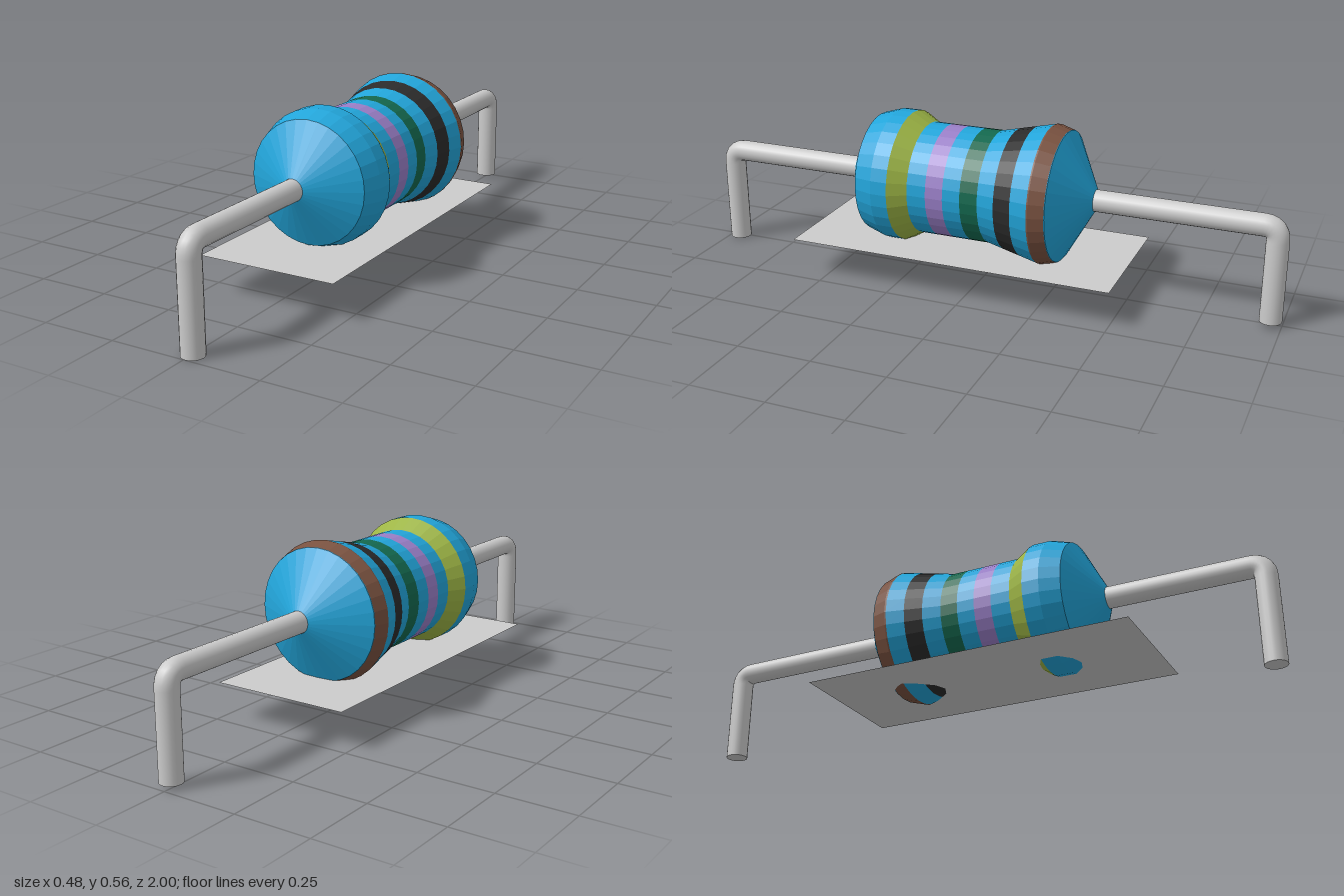
import * as THREE from 'three';

const AXIS_X = 0.006, AXIS_Y = 0.332, LEAD_R = 0.036;

// Body silhouette: [z, radius] from back to front
const PROFILE = [
  [-0.385, LEAD_R], [-0.285, 0.215], [-0.235, 0.23], [-0.05, 0.187],
  [0.195, 0.187], [0.253, 0.22], [0.31, 0.22], [0.375, 0.2], [0.46, LEAD_R],
];

// Painted bands: [name, back z, front z, color]
const BANDS = [
  ['brownBand', -0.283, -0.23, 0x7a5240],
  ['blackBand', -0.17, -0.11, 0x2b2b2b],
  ['greenBand', -0.05, 0.01, 0x14694f],
  ['violetBand', 0.07, 0.13, 0x9a7fc8],
  ['yellowBand', 0.195, 0.253, 0x9db545],
];
const BLUE = 0x22a5da;

function radiusAt(z) {
  for (let i = 1; i < PROFILE.length; i++) {
    const [z0, r0] = PROFILE[i - 1], [z1, r1] = PROFILE[i];
    if (z <= z1) return r0 + (r1 - r0) * (z - z0) / (z1 - z0);
  }
  return LEAD_R;
}

// One coloured slice of the turned body, between two z positions
function bodySlice(name, z0, z1, color) {
  const inner = PROFILE.map(p => p[0]).filter(z => z > z0 + 1e-4 && z < z1 - 1e-4);
  const points = [z0, ...inner, z1].map(z => new THREE.Vector2(radiusAt(z), z));
  const geometry = new THREE.LatheGeometry(points, 32).rotateX(Math.PI / 2);
  const mesh = new THREE.Mesh(geometry, new THREE.MeshStandardMaterial({ color, flatShading: true }));
  mesh.name = name;
  return mesh;
}

// Wire leaving the body and bending down to its foot
function makeLead(name, side, startZ, footY) {
  const lead = new THREE.Group();
  lead.name = name;
  const material = new THREE.MeshStandardMaterial({ color: 0xcccccc });
  const v = (y, z) => new THREE.Vector3(0, y, z * side);
  const endZ = 0.964, bend = 0.045;
  const path = new THREE.CurvePath();
  path.add(new THREE.LineCurve3(v(AXIS_Y, startZ), v(AXIS_Y, endZ - bend)));
  path.add(new THREE.QuadraticBezierCurve3(
    v(AXIS_Y, endZ - bend), v(AXIS_Y, endZ), v(AXIS_Y - bend, endZ)));
  path.add(new THREE.LineCurve3(v(AXIS_Y - bend, endZ), v(footY, endZ)));
  const wire = new THREE.Mesh(new THREE.TubeGeometry(path, 80, LEAD_R, 20), material);
  wire.name = name + 'Wire';
  const cap = new THREE.Mesh(new THREE.CircleGeometry(LEAD_R, 20).rotateX(Math.PI / 2), material);
  cap.position.set(0, footY, endZ * side);
  cap.name = name + 'EndCap';
  lead.add(wire, cap);
  lead.position.x = AXIS_X;
  return lead;
}

export function createModel() {
  const model = new THREE.Group();
  model.name = 'resistor';

  // Body: blue sections alternating with the painted bands
  const body = new THREE.Group();
  body.name = 'body';
  body.position.set(AXIS_X, AXIS_Y, 0);
  let z = PROFILE[0][0];
  BANDS.forEach(([name, z0, z1, color], i) => {
    body.add(bodySlice('blueSection' + (i + 1), z, z0, BLUE));
    body.add(bodySlice(name, z0, z1, color));
    z = z1;
  });
  body.add(bodySlice('frontSection', z, PROFILE[PROFILE.length - 1][0], BLUE));
  model.add(body);

  // Wire leads, the back one slightly shorter
  model.add(makeLead('frontLead', 1, 0.4, 0));
  model.add(makeLead('backLead', -1, 0.32, 0.015));

  // Thin flat sheet just under the body
  const sheet = new THREE.Mesh(
    new THREE.PlaneGeometry(0.472, 1.107).rotateX(-Math.PI / 2),
    new THREE.MeshStandardMaterial({ color: 0xcccccc, side: THREE.DoubleSide }));
  sheet.name = 'baseSheet';
  sheet.position.set(-0.003, 0.127, 0.05);
  model.add(sheet);

  return model;
}
